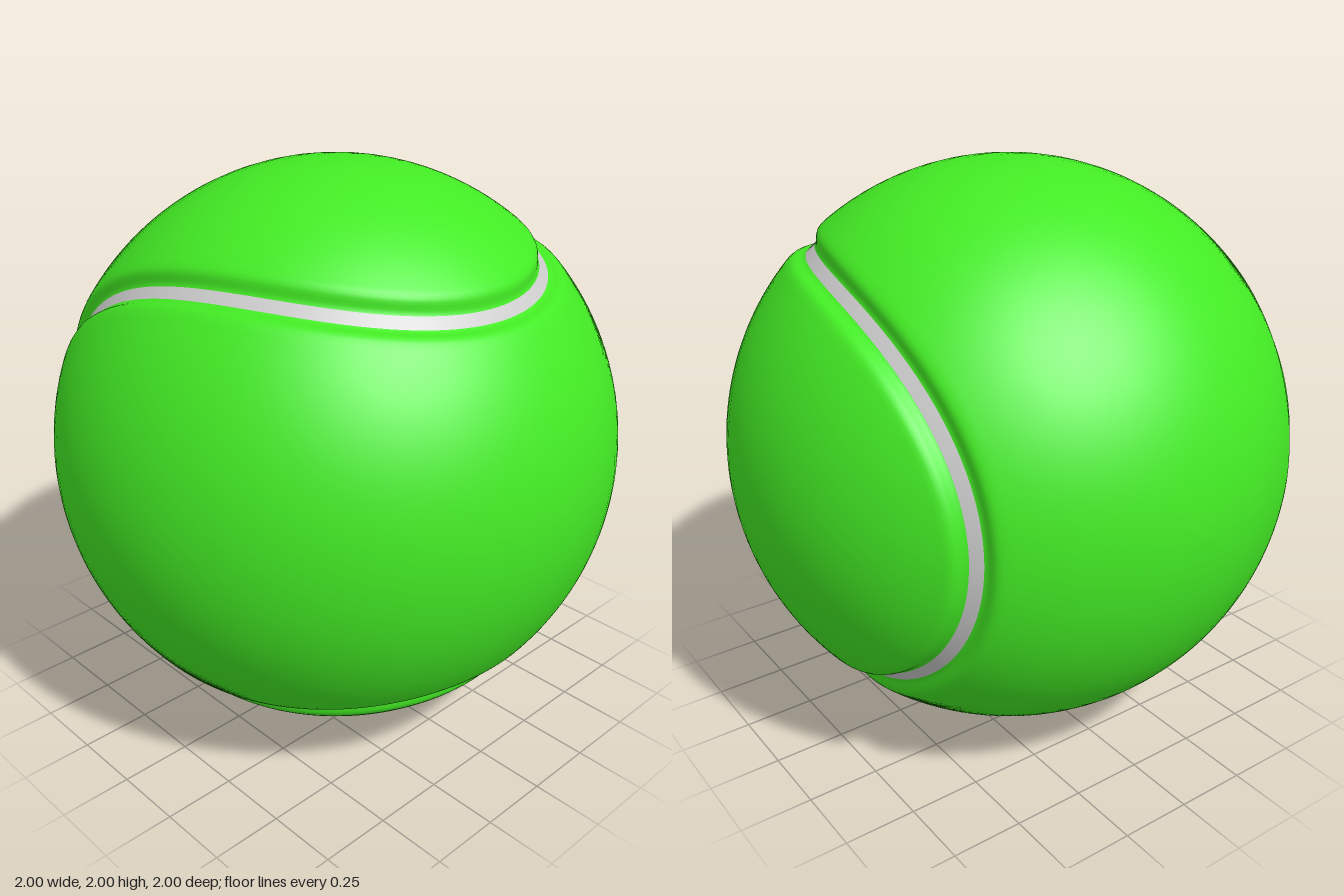
import * as THREE from 'three';

const SEGMENTS = 320;
const A = 0.83, B = 0.17, C = 2 * Math.sqrt(A * B);
const SEAM_HALF = 0.023;

// Closed seam curve lying on the unit sphere
function seamPoint(t) {
  return new THREE.Vector3(
    A * Math.cos(t) + B * Math.cos(3 * t),
    A * Math.sin(t) - B * Math.sin(3 * t),
    C * Math.sin(2 * t)
  ).applyAxisAngle(new THREE.Vector3(0, 0, 1), Math.PI / 4);
}

// Point at sideways angle d from the seam, at distance r from the centre
function besideSeam(t, d, r) {
  const p = seamPoint(t);
  const tangent = seamPoint(t + 0.001).sub(seamPoint(t - 0.001));
  const side = p.clone().cross(tangent).normalize();
  return p.multiplyScalar(Math.cos(d)).addScaledVector(side, Math.sin(d)).setLength(r);
}

// Smooth surface from closed rings; rows(t) lists the points across it
function ringSurface(rows, flip) {
  const positions = [], index = [];
  let n = 0;
  for (let i = 0; i < SEGMENTS; i++) {
    const column = rows((i / SEGMENTS) * Math.PI * 2);
    n = column.length;
    for (const p of column) positions.push(p.x, p.y, p.z);
  }
  for (let i = 0; i < SEGMENTS; i++) {
    for (let j = 0; j < n - 1; j++) {
      const a = i * n + j, b = ((i + 1) % SEGMENTS) * n + j;
      if (flip) index.push(a, b + 1, b, a, a + 1, b + 1);
      else index.push(a, b, b + 1, a, b + 1, a + 1);
    }
  }
  const geometry = new THREE.BufferGeometry();
  geometry.setAttribute('position', new THREE.Float32BufferAttribute(positions, 3));
  geometry.setIndex(index);
  geometry.computeVertexNormals();
  return geometry;
}

export function createModel() {
  const ball = new THREE.Group();
  ball.name = 'ball';
  ball.position.y = 1;
  const felt = new THREE.MeshStandardMaterial({ color: 0x43eb24 });
  const rubber = new THREE.MeshStandardMaterial({ color: 0xcccccc });

  // Rounded groove wall: sideways angle, radius
  const wall = [
    [SEAM_HALF, 0.967], [0.03, 0.969], [0.038, 0.974], [0.046, 0.982],
    [0.055, 0.99], [0.065, 0.996], [0.078, 0.999], [0.095, 1],
  ];

  // Two matching felt panels, each running from the groove to its pole
  for (const s of [1, -1]) {
    const pole = new THREE.Vector3(0, 0, s);
    const panel = ringSurface((t) => {
      const column = wall.map(([d, r]) => besideSeam(t, s * d, r));
      const edge = column[column.length - 1];
      const angle = edge.angleTo(pole);
      const axis = edge.clone().cross(pole).normalize();
      for (let k = 1; k <= 36; k++) {
        column.push(edge.clone().applyAxisAngle(axis, (angle * k) / 36));
      }
      return column;
    }, s < 0);
    const mesh = new THREE.Mesh(panel, felt);
    mesh.name = s > 0 ? 'frontPanel' : 'backPanel';
    ball.add(mesh);
  }

  // Seam band at the bottom of the groove
  const band = ringSurface((t) =>
    [-1, -0.5, 0, 0.5, 1].map((k) => besideSeam(t, k * SEAM_HALF, 0.967)), false);
  const seam = new THREE.Mesh(band, rubber);
  seam.name = 'seam';
  ball.add(seam);

  const model = new THREE.Group();
  model.add(ball);
  return model;
}
